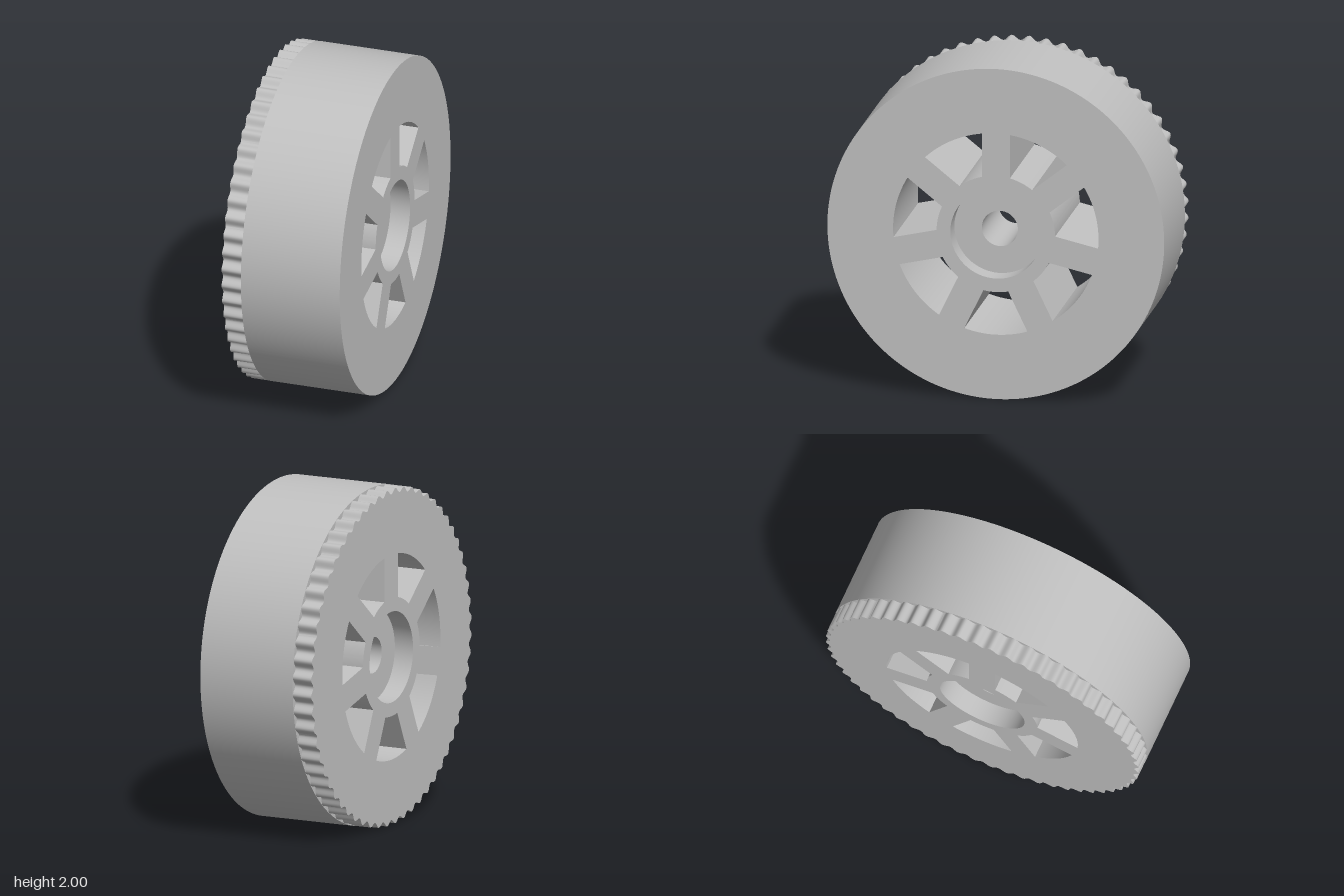
import * as THREE from 'three';
import { toCreasedNormals } from 'three/addons/utils/BufferGeometryUtils.js';

const HALF = 0.364;      // half width of the wheel
const STEP = 0.244;      // recess floors and toothed band start here
const TEETH = 60, SAMPLES = 600;
const BORE = 0.107, RECESS = 0.27;
const SPOKES = 7, SPOKE_HALF = 0.083, WIN_IN = 0.352, WIN_OUT = 0.61;

// Counter-clockwise loop of points with a radius given by a rule
function ring(radius, count) {
  const pts = [];
  for (let i = 0; i < count; i++) {
    const a = (i / count) * Math.PI * 2;
    const r = typeof radius === 'function' ? radius(a) : radius;
    pts.push(new THREE.Vector2(Math.cos(a) * r, Math.sin(a) * r));
  }
  return pts;
}

// Window between two straight-sided spokes
function windowLoop(k) {
  const mid = Math.PI / 2 + ((k + 0.5) * Math.PI * 2) / SPOKES;
  const pts = [];
  const arc = (r, dir) => {
    const half = Math.PI / SPOKES - Math.asin(SPOKE_HALF / r);
    for (let i = 0; i <= 16; i++) {
      const a = mid + dir * half * ((2 * i) / 16 - 1);
      pts.push(new THREE.Vector2(Math.cos(a) * r, Math.sin(a) * r));
    }
  };
  arc(WIN_OUT, 1);
  arc(WIN_IN, -1);
  return pts;
}

// Closed strip joining two loops of equal length
function strip(a, za, b, zb) {
  const pos = [];
  const n = a.length;
  for (let i = 0; i < n; i++) {
    const j = (i + 1) % n;
    pos.push(a[i].x, a[i].y, za, a[j].x, a[j].y, za, b[j].x, b[j].y, zb);
    pos.push(a[i].x, a[i].y, za, b[j].x, b[j].y, zb, b[i].x, b[i].y, zb);
  }
  const g = new THREE.BufferGeometry();
  g.setAttribute('position', new THREE.Float32BufferAttribute(pos, 3));
  return toCreasedNormals(g, 0.7);
}

const outerWall = (loop, z0, z1) => strip(loop, z0, loop, z1);
const innerWall = (loop, z0, z1) => outerWall([...loop].reverse(), z0, z1);

// Flat face with holes, looking along +z or -z
function face(outline, holes, z, dir) {
  const shape = new THREE.Shape(outline);
  holes.forEach((h) => shape.holes.push(new THREE.Path(h)));
  const g = new THREE.ShapeGeometry(shape);
  if (dir < 0) g.index.array.reverse();
  g.translate(0, 0, z);
  g.computeVertexNormals();
  return g;
}

export function createModel() {
  const model = new THREE.Group();
  model.name = 'wheel';
  const grey = new THREE.MeshStandardMaterial({ color: 0xc0c0c0 });
  grey.name = 'light grey';

  // The wheel is drawn around z, then turned so its axle lies along x
  const add = (name, geometry) => {
    geometry.rotateY(Math.PI / 2);
    geometry.translate(0, 1, 0);
    const mesh = new THREE.Mesh(geometry, grey);
    mesh.name = name;
    model.add(mesh);
  };

  const tread = ring(1, SAMPLES);
  const toothed = ring((a) => 0.999 - 0.015 * (1 + Math.cos(a * TEETH)), SAMPLES);
  const recess = ring(RECESS, 96);
  const bore = ring(BORE, 64);
  const windows = [];
  for (let k = 0; k < SPOKES; k++) windows.push(windowLoop(k));

  // Rolling surface, toothed band and the shoulder between them
  add('tread', outerWall(tread, -STEP, HALF));
  add('toothedBand', outerWall(toothed, -HALF, -STEP));
  add('toothShoulder', strip(toothed, -STEP, tread, -STEP));

  // Side faces with spoke windows
  add('plainSide', face(tread, [...windows, recess], HALF, 1));
  add('toothedSide', face(toothed, [...windows, recess], -HALF, -1));
  windows.forEach((w) => add('spokeWindow', innerWall(w, -HALF, HALF)));

  // Hub: a bearing recess on each side and the axle bore
  for (const side of [1, -1]) {
    add('recessFloor', face(recess, [bore], side * STEP, side));
    add('recessWall', innerWall(recess, side > 0 ? STEP : -HALF, side > 0 ? HALF : -STEP));
  }
  add('axleBore', innerWall(bore, -STEP, STEP));

  return model;
}
